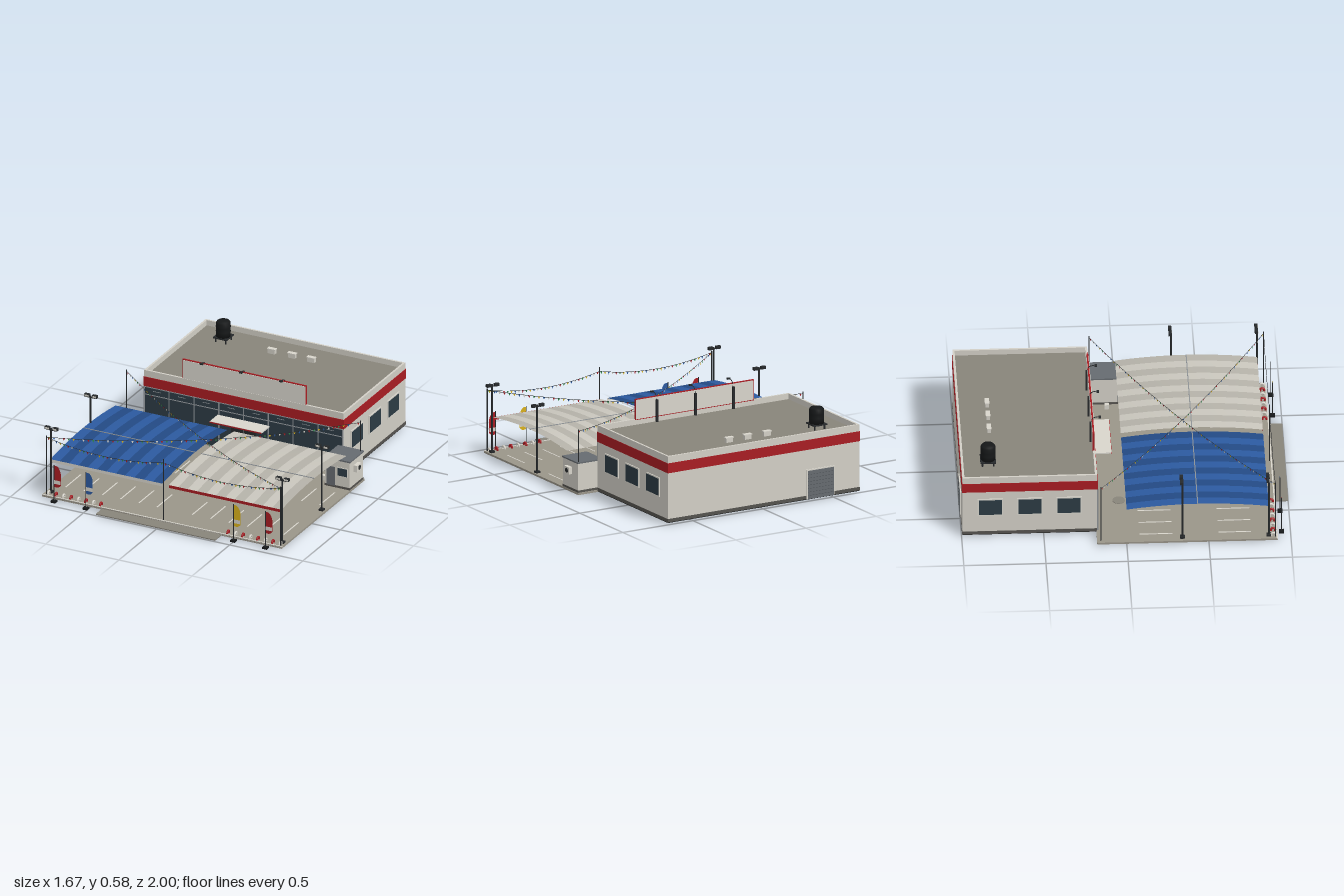
import * as THREE from 'three';

const C = {
  wall: 0xd2cfc6, roof: 0x88847a, lot: 0x9a9589, red: 0xa81c22, white: 0xd8d5cc, blue: 0x2c5aa0, blueDark: 0x234a85,
  glass: 0x2c3b44, dark: 0x26292b, black: 0x161819, metal: 0x8d9296, steel: 0x4a4f52, yellow: 0xd8b01c, green: 0x2f8a4a,
  plinth: 0x55534f, slate: 0x666b70,
};
const mats = {};
function mat(color, double = false) {
  const key = color + (double ? 'd' : '');
  return mats[key] ??= new THREE.MeshStandardMaterial({ color, side: double ? THREE.DoubleSide : THREE.FrontSide });
}

export function createModel() {
  const root = new THREE.Group();
  function add(name, geo, color, x = 0, y = 0, z = 0, double = false) {
    const m = new THREE.Mesh(geo, mat(color, double));
    m.name = name;
    m.position.set(x, y, z);
    root.add(m);
    return m;
  }
  // box given by its extents on each axis
  const box = (name, color, x0, x1, y0, y1, z0, z1) =>
    add(name, new THREE.BoxGeometry(x1 - x0, y1 - y0, z1 - z0), color, (x0 + x1) / 2, (y0 + y1) / 2, (z0 + z1) / 2);
  const pole = (name, color, x, z, y0, y1, r) =>
    add(name, new THREE.CylinderGeometry(r, r, y1 - y0, 8), color, x, (y0 + y1) / 2, z);

  // ---- forecourt
  box('forecourtSlab', C.lot, -0.825, 0.815, 0.008, 0.02, -0.18, 0.92);
  box('frontKerb', C.white, -0.825, 0.815, 0.008, 0.023, 0.912, 0.92);
  box('drivewayRamp', C.roof, -0.415, 0.4, 0.006, 0.013, 0.92, 1.0);
  add('manholeCover', new THREE.CylinderGeometry(0.038, 0.038, 0.004, 24), C.roof, -0.38, 0.021, -0.03);
  box('utilityBox', C.white, 0.587, 0.613, 0.02, 0.05, -0.072, -0.046);
  for (const s of [-1, 1]) for (let i = 0; i < 6; i++) for (const z of [0.08, 0.56]) {
    const x = s * (0.12 + i * 0.125);
    box('parkingLine', C.white, x - 0.004, x + 0.004, 0.02, 0.0215, z, z + 0.2);
  }

  // ---- building shell
  const X0 = -0.69, X1 = 0.675, Z0 = -0.995, Z1 = -0.175;
  box('foundation', C.black, X0, X1, 0.01, 0.014, Z0, Z1);
  box('plinth', C.plinth, X0 - 0.002, X1 + 0.002, 0.014, 0.035, Z0 - 0.002, Z1);
  box('walls', C.wall, X0, X1, 0.035, 0.33, Z0, Z1);
  box('redBand', C.red, X0 - 0.003, X1 + 0.003, 0.325, 0.387, Z0 - 0.003, Z1 + 0.004);
  box('roofDeck', C.roof, X0 + 0.01, X1 - 0.01, 0.38, 0.395, Z0 + 0.01, Z1 - 0.01);
  const rim = new THREE.Shape([[X0, -Z0], [X1, -Z0], [X1, -Z1], [X0, -Z1]].map(p => new THREE.Vector2(...p)));
  const t = 0.013;
  rim.holes.push(new THREE.Path([[X0 + t, -Z0 - t], [X0 + t, -Z1 + t], [X1 - t, -Z1 + t], [X1 - t, -Z0 - t]].map(p => new THREE.Vector2(...p))));
  const rimGeo = new THREE.ExtrudeGeometry(rim, { depth: 0.044, bevelEnabled: false });
  rimGeo.rotateX(-Math.PI / 2);
  add('parapet', rimGeo, C.wall, 0, 0.386, 0);

  // ---- glazed front
  box('shopGlass', C.glass, X0 + 0.004, X1 - 0.004, 0.022, 0.325, Z1, Z1 + 0.003);
  for (let i = 0; i <= 8; i++) {
    const x = X0 + 0.004 + i * (X1 - X0 - 0.008) / 8;
    box('mullion', C.metal, x - 0.003, x + 0.003, 0.02, 0.325, Z1, Z1 + 0.007);
    if (i < 8) box('transomVent', C.metal, x + 0.06, x + 0.11, 0.299, 0.302, Z1, Z1 + 0.005);
  }
  for (const y of [0.022, 0.272, 0.322]) box('glazingRail', C.metal, X0, X1, y - 0.0025, y + 0.0025, Z1, Z1 + 0.006);
  for (const s of [0, 1]) {
    const x = -0.092 + s * 0.086;
    box('entranceDoor', C.dark, x + 0.002, x + 0.083, 0.022, 0.2, Z1, Z1 + 0.009);
    box('doorHandle', C.metal, x + (s ? 0.008 : 0.073), x + (s ? 0.012 : 0.077), 0.09, 0.14, Z1, Z1 + 0.014);
  }
  box('entranceAwning', C.white, -0.185, 0.17, 0.231, 0.239, Z1, -0.065);
  box('awningTrim', C.red, -0.185, 0.17, 0.229, 0.237, -0.065, -0.063);

  // ---- side windows
  for (const x of [X0, X1]) for (const z of [-0.345, -0.585, -0.825]) {
    const w = 0.078;
    box('windowFrame', C.white, x - 0.006, x + 0.006, 0.152, 0.274, z - w, z + w);
    box('windowPane', C.glass, x - 0.008, x + 0.008, 0.16, 0.266, z - w + 0.008, z + w - 0.008);
  }
  // rear service door
  box('rearDoorFrame', C.white, -0.51, -0.31, 0.014, 0.2, Z0 - 0.006, Z0);
  box('rearDoor', C.slate, -0.502, -0.318, 0.014, 0.192, Z0 - 0.008, Z0);
  for (let i = 1; i < 8; i++) box('doorSlat', C.steel, -0.502, -0.318, 0.014 + i * 0.022, 0.0155 + i * 0.022, Z0 - 0.009, Z0);

  // ---- sign board, its posts and lamps
  box('signBorder', C.red, -0.43, 0.415, 0.425, 0.557, -0.19, -0.18);
  box('signFace', C.white, -0.425, 0.41, 0.43, 0.552, -0.192, -0.177);
  for (const x of [-0.28, -0.01, 0.265]) {
    box('signPost', C.dark, x - 0.007, x + 0.007, 0.395, 0.535, -0.203, -0.19);
    const arm = new THREE.CatmullRomCurve3([[0, 0.53, -0.192], [0, 0.562, -0.185], [0, 0.572, -0.165], [0, 0.575, -0.145]].map(p => new THREE.Vector3(...p)));
    add('signLampArm', new THREE.TubeGeometry(arm, 8, 0.0025, 6), C.dark, x);
    box('signLampHead', C.dark, x - 0.01, x + 0.01, 0.568, 0.577, -0.148, -0.133);
  }

  // ---- roof equipment
  box('tankBase', C.dark, -0.533, -0.438, 0.422, 0.43, -0.878, -0.783);
  for (const x of [-0.52, -0.45]) for (const z of [-0.865, -0.796]) pole('tankLeg', C.dark, x, z, 0.395, 0.424, 0.005);
  const tank = [[0, 0], [0.045, 0], [0.045, 0.03], [0.047, 0.033], [0.045, 0.036], [0.045, 0.062], [0.047, 0.065], [0.045, 0.068], [0.045, 0.09], [0.038, 0.1], [0.014, 0.103], [0, 0.103]];
  add('waterTank', new THREE.LatheGeometry(tank.map(p => new THREE.Vector2(...p)), 24), C.black, -0.485, 0.43, -0.83);
  for (const x of [-0.142, -0.004, 0.128]) {
    box('roofVent', C.wall, x - 0.024, x + 0.024, 0.395, 0.422, -0.82, -0.798);
    box('roofVentCap', C.white, x - 0.028, x + 0.028, 0.422, 0.428, -0.823, -0.795);
  }

  // ---- service kiosk
  box('kioskBase', C.plinth, 0.639, 0.812, 0.02, 0.034, -0.172, 0.011);
  box('kioskWalls', C.wall, 0.641, 0.81, 0.03, 0.203, -0.17, 0.009);
  box('kioskRoof', C.slate, 0.637, 0.815, 0.203, 0.212, -0.174, 0.013);
  box('kioskDoor', C.slate, 0.655, 0.71, 0.03, 0.155, 0.005, 0.012);
  box('kioskWindowFrame', C.white, 0.725, 0.798, 0.1, 0.16, 0.005, 0.012);
  box('kioskWindow', C.glass, 0.73, 0.793, 0.105, 0.155, 0.005, 0.014);
  box('airConditioner', C.white, 0.81, 0.834, 0.122, 0.166, -0.1, -0.043);
  add('airConditionerFan', new THREE.CylinderGeometry(0.015, 0.015, 0.004, 20), C.dark, 0.834, 0.144, -0.075).rotation.z = Math.PI / 2;

  // ---- striped arched canopies, open sheets
  function canopy(x0, x1, colors, valance) {
    const n = 12, w = (x1 - x0) / n, L = 0.865;
    for (let i = 0; i < n; i++) {
      const g = new THREE.PlaneGeometry(w, L, 1, 10);
      g.rotateX(-Math.PI / 2);
      const p = g.attributes.position;
      for (let k = 0; k < p.count; k++) p.setY(k, 0.03 * (1 - (p.getZ(k) / (L / 2)) ** 2));
      g.computeVertexNormals();
      add('canopyStripe', g, colors[i % 2], x0 + (i + 0.5) * w, 0.241, L / 2, true);
    }
    add('canopyValance', new THREE.PlaneGeometry(x1 - x0, 0.019), valance, (x0 + x1) / 2, 0.232, L, true);
    box('canopyRidge', C.metal, x0, x1, 0.268, 0.274, L / 2 - 0.003, L / 2 + 0.003);
  }
  canopy(-0.795, -0.03, [C.blue, C.blueDark], C.white);
  canopy(0.015, 0.785, [0xc9c6bd, 0xb5b2a9], C.red);

  // ---- floodlight masts
  for (const s of [-1, 1]) for (const z of [0.34, 0.865]) {
    const x = s * 0.79;
    pole('mast', C.dark, x, z, 0.02, 0.45, 0.006);
    box('mastFoot', C.dark, x - 0.014, x + 0.014, 0.02, 0.032, z - 0.014, z + 0.014);
    box('mastArm', C.dark, x - 0.035, x + 0.035, 0.436, 0.441, z - 0.003, z + 0.003);
    for (const d of [-0.027, 0.027]) {
      box('floodlight', C.dark, x + d - 0.016, x + d + 0.016, 0.438, 0.456, z - 0.016, z + 0.004);
      box('floodlightLens', C.white, x + d - 0.013, x + d + 0.013, 0.441, 0.453, z + 0.004, z + 0.005);
    }
  }

  // ---- bunting poles and strings of pennants
  const B = 0.8, F = 0.905, K = -0.157;
  for (const [x, z] of [[-B, F], [0, F], [B, F], [-B, K], [B, K]]) pole('buntingPole', C.dark, x, z, 0.02, x === 0 ? 0.43 : 0.415, 0.0035);
  const tri = new THREE.BufferGeometry();
  tri.setAttribute('position', new THREE.Float32BufferAttribute([-0.007, 0, 0, 0, -0.016, 0, 0.007, 0, 0], 3));
  tri.computeVertexNormals();
  const pennants = [C.red, C.white, C.blue, C.yellow, C.green];
  function bunting(ax, az, bx, bz, sag, n) {
    const at = u => new THREE.Vector3(ax + (bx - ax) * u, 0.405 - sag * 4 * u * (1 - u), az + (bz - az) * u);
    const pts = Array.from({ length: 13 }, (_, i) => at(i / 12));
    add('buntingString', new THREE.TubeGeometry(new THREE.CatmullRomCurve3(pts), 24, 0.0014, 4), C.dark);
    for (let i = 0; i < n; i++) {
      const p = at((i + 0.5) / n);
      add('pennant', tri, pennants[i % 5], p.x, p.y, p.z, true).rotation.y = -Math.atan2(bz - az, bx - ax);
    }
  }
  bunting(-B, F, 0, F, 0.045, 30);
  bunting(0, F, B, F, 0.045, 30);
  bunting(-B, K, B, F, 0.067, 64);
  bunting(B, K, -B, F, 0.067, 64);

  // ---- painted tyre barrier
  for (const s of [-1, 1]) for (let i = 0; i < 8; i++)
    add('barrierTyre', new THREE.TorusGeometry(0.0135, 0.0065, 8, 18), i % 2 ? C.white : C.red, s * (0.435 + i * 0.051), 0.025, 0.893).rotation.y = Math.PI / 2;

  // ---- feather flags
  const sail = new THREE.Shape();
  sail.moveTo(0, 0.105);
  sail.lineTo(0, 0.245);
  sail.quadraticCurveTo(0.035, 0.255, 0.047, 0.2);
  sail.lineTo(0.047, 0.12);
  sail.quadraticCurveTo(0.03, 0.095, 0, 0.105);
  const sailGeo = new THREE.ShapeGeometry(sail, 8);
  for (const [x, c] of [[-0.73, C.red], [-0.512, C.blue], [0.498, C.yellow], [0.716, C.red]]) {
    box('flagFoot', C.black, x - 0.016, x + 0.016, 0, 0.012, 0.93, 0.96);
    pole('flagPole', C.dark, x, 0.945, 0.01, 0.25, 0.0025);
    add('flagSail', sailGeo, c, x, 0, 0.945, true);
    for (const d of [-0.001, 0.001]) add('flagStripe', new THREE.PlaneGeometry(0.043, 0.025), C.white, x + 0.024, 0.137, 0.945 + d, true);
  }
  return root;
}
